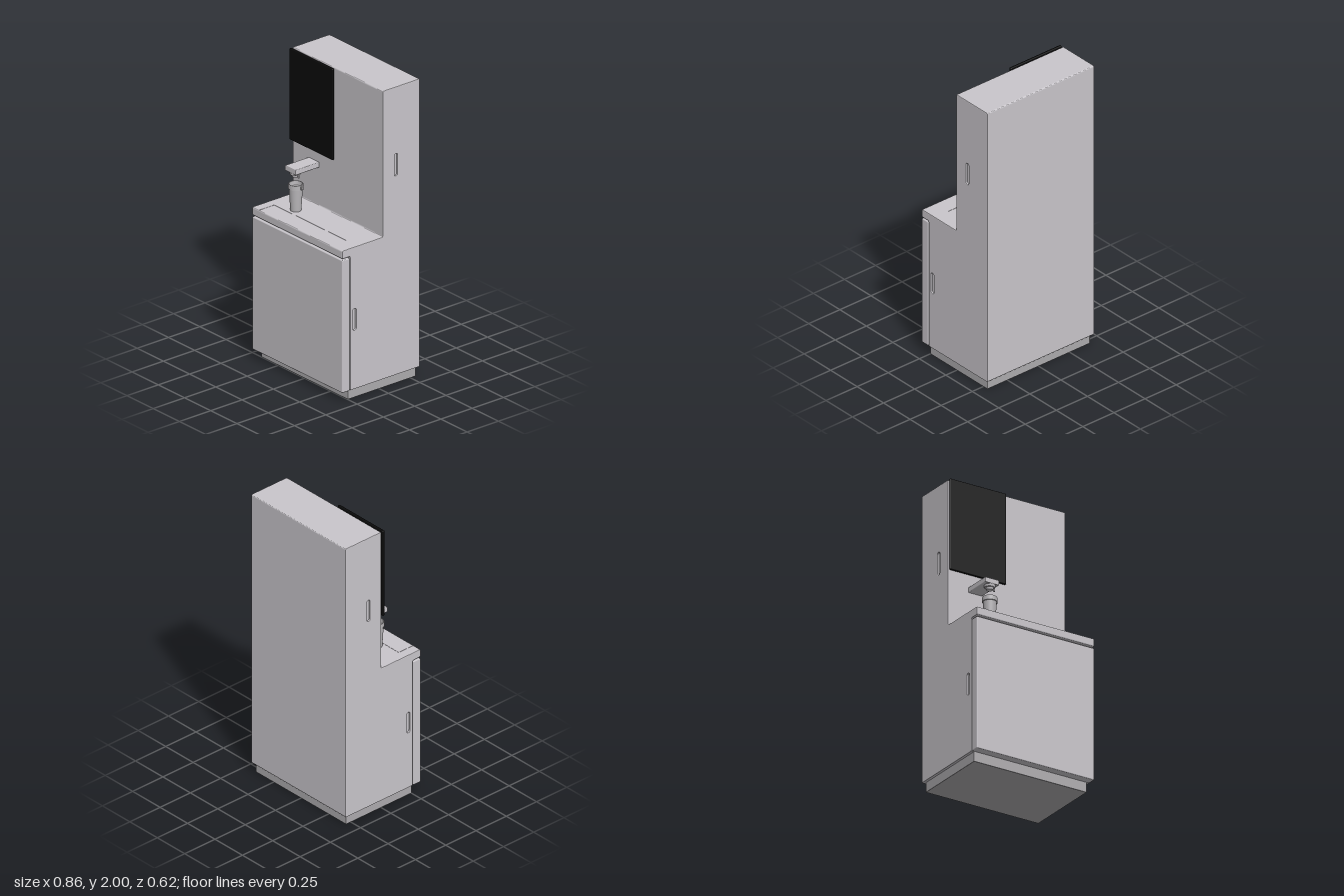
import * as THREE from 'three';
import { RoundedBoxGeometry } from 'three/addons/geometries/RoundedBoxGeometry.js';

export function createModel() {
  const group = new THREE.Group();
  const material = (name, color) => {
    const m = new THREE.MeshStandardMaterial({ color });
    m.name = name;
    return m;
  };
  const casing = material('casing grey', 0xc9c6cb);
  const base = material('plinth grey', 0xadabae);
  const black = material('screen black', 0x0a0a0a);
  const cupGrey = material('cup grey', 0xb9b7ba);
  cupGrey.side = THREE.DoubleSide;

  const add = (name, geometry, mat, x = 0, y = 0, z = 0) => {
    const mesh = new THREE.Mesh(geometry, mat);
    mesh.name = name;
    mesh.position.set(x, y, z);
    group.add(mesh);
    return mesh;
  };
  // Rounded box given by its minimum and maximum corners
  const block = (name, mat, [x0, y0, z0], [x1, y1, z1], r = 0.006) =>
    add(name, new RoundedBoxGeometry(x1 - x0, y1 - y0, z1 - z0, 2, r), mat,
      (x0 + x1) / 2, (y0 + y1) / 2, (z0 + z1) / 2);

  // Polygon with softened corners, points are [z, y]
  const softPolygon = (points, r) => {
    const shape = new THREE.Shape();
    const v = points.map(p => new THREE.Vector2(...p));
    v.forEach((p, i) => {
      const prev = v[(i + v.length - 1) % v.length], next = v[(i + 1) % v.length];
      const a = prev.clone().sub(p).setLength(r).add(p);
      const b = next.clone().sub(p).setLength(r).add(p);
      if (i) shape.lineTo(a.x, a.y); else shape.moveTo(a.x, a.y);
      shape.quadraticCurveTo(p.x, p.y, b.x, b.y);
    });
    shape.closePath();
    return shape;
  };
  // Upright slot outline
  const slot = (PathType, z, y0, y1, r) => {
    const path = new PathType();
    path.absarc(z, y1 - r, r, 0, Math.PI, false);
    path.absarc(z, y0 + r, r, Math.PI, Math.PI * 2, false);
    path.closePath();
    return path;
  };
  // Extrude a side profile across the width
  const across = (shape, width, bevel) => {
    const depth = width - 2 * bevel;
    const g = new THREE.ExtrudeGeometry(shape, {
      depth, curveSegments: 6, bevelEnabled: bevel > 0, bevelSize: bevel,
      bevelThickness: bevel, bevelOffset: -bevel, bevelSegments: 2,
    });
    return g.translate(0, 0, -depth / 2).rotateY(-Math.PI / 2);
  };

  // Cabinet, worktop and tower in one side profile, with grip slots in both sides
  const body = softPolygon([
    [-0.31, 0.065], [0.246, 0.065], [0.246, 0.965], [0.31, 0.965],
    [0.31, 1.02], [-0.015, 1.02], [-0.015, 2], [-0.31, 2],
  ], 0.01);
  const grips = [[-0.12, 1.4, 1.55], [0.21, 0.46, 0.605]];
  for (const [z, y0, y1] of grips) body.holes.push(slot(THREE.Path, z, y0, y1, 0.012));
  add('cabinetBody', across(body, 0.86, 0.005), casing);
  for (const [z, y0, y1] of grips) {
    add('gripRecess', across(slot(THREE.Shape, z, y0 - 0.003, y1 + 0.003, 0.015), 0.836, 0), casing);
  }

  // Front door and plinth
  block('frontDoor', casing, [-0.43, 0.065, 0.25], [0.43, 0.955, 0.31]);
  block('plinth', base, [-0.412, 0, -0.29], [0.412, 0.07, 0.25], 0.003);

  // Fine seams on the worktop
  add('worktopSeam', new THREE.BoxGeometry(0.69, 0.002, 0.006), casing, -0.025, 1.0205, 0.187);
  add('worktopSeamSide', new THREE.BoxGeometry(0.006, 0.002, 0.12), casing, -0.365, 1.0205, 0.247);

  // Display panel on a small wall mount
  block('displayPanel', black, [-0.43, 1.387, -0.004], [-0.02, 2, 0.013]);
  add('displayMount', new THREE.BoxGeometry(0.2, 0.2, 0.018), black, -0.225, 1.7, -0.011);

  // Dispenser arm with stepped nozzle
  block('dispenserArm', casing, [-0.28, 1.277, -0.025], [-0.178, 1.312, 0.174], 0.005);
  add('nozzleCollar', new THREE.CylinderGeometry(0.036, 0.033, 0.016, 24), casing, -0.225, 1.27, 0.138);
  add('nozzleTip', new THREE.CylinderGeometry(0.024, 0.02, 0.016, 24), casing, -0.225, 1.255, 0.138);
  add('nozzlePin', new THREE.CylinderGeometry(0.006, 0.006, 0.02, 10), casing, -0.192, 1.256, 0.138);

  // Tapered cup with a rim band, open at the top
  const cup = [[0, 1.021], [0.034, 1.021], [0.043, 1.166], [0.047, 1.168], [0.047, 1.196],
    [0.045, 1.199], [0.041, 1.199], [0.039, 1.17], [0, 1.165]];
  const faceted = cup.flatMap(([r, y], i) => {
    const p = new THREE.Vector2(r, y);
    return i && i < cup.length - 1 ? [p, p.clone()] : [p];
  });
  add('cup', new THREE.LatheGeometry(faceted, 32), cupGrey, -0.222, 0, 0.135);
  block('cupTab', cupGrey, [-0.18, 1.17, 0.118], [-0.165, 1.194, 0.136], 0.003);

  return group;
}
